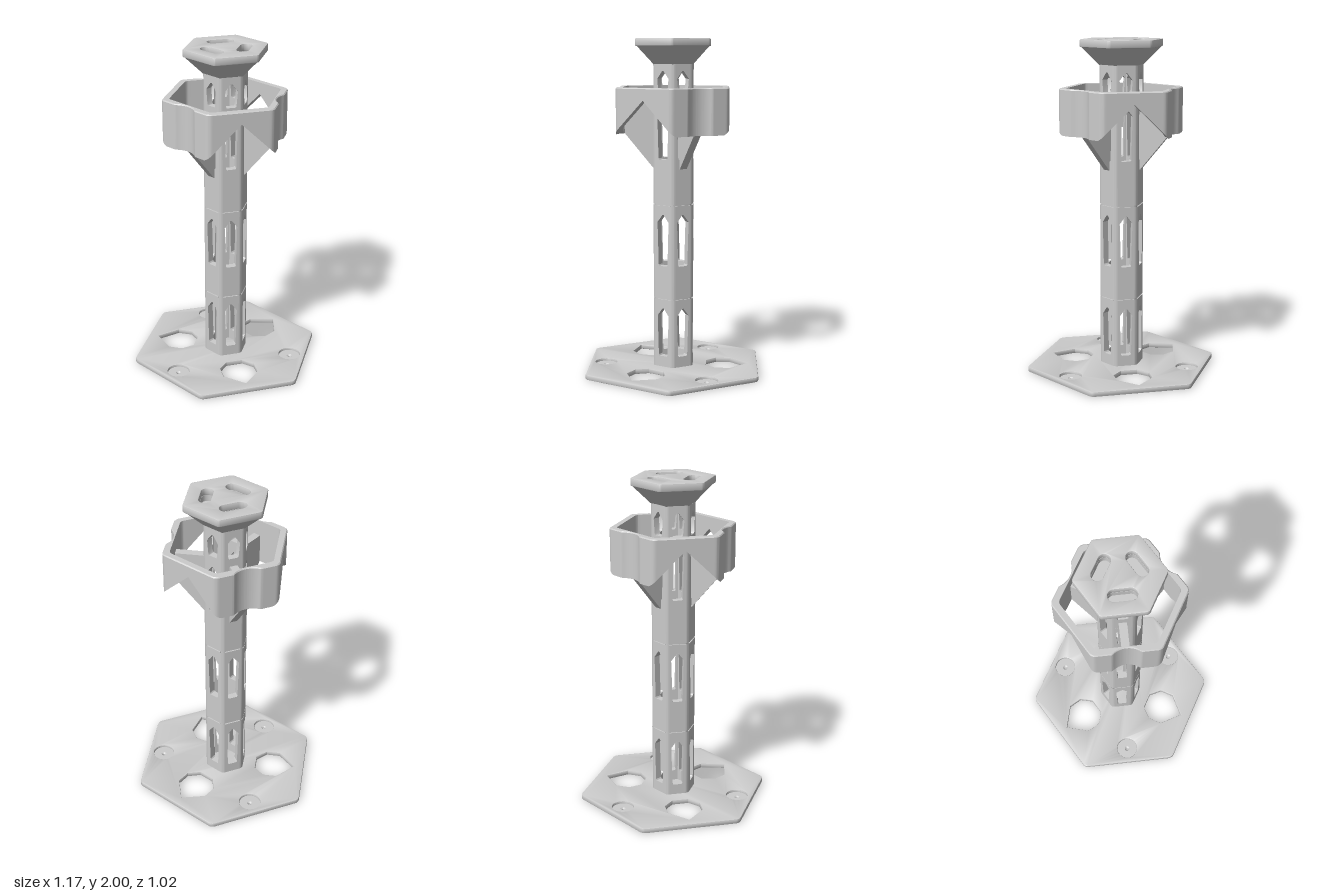
import * as THREE from 'three';
import { toCreasedNormals } from 'three/addons/utils/BufferGeometryUtils.js';

const RAD = Math.PI / 180;
const mat = new THREE.MeshStandardMaterial({ color: 0xcccccc, side: THREE.DoubleSide });
const OPEN_SIDES = [0, 120, 240];    // angles from +z toward +x
const STRUT_SIDES = [60, 180, 300];
const ALL_SIDES = [0, 60, 120, 180, 240, 300];

function add(parent, name, geo, crease = 30) {
  const mesh = new THREE.Mesh(toCreasedNormals(geo, crease * RAD), mat);
  mesh.name = name;
  parent.add(mesh);
  return mesh;
}

// Plan point: u sideways, v outward along the direction of angle deg
function plan(u, v, deg) {
  const s = Math.sin(deg * RAD), c = Math.cos(deg * RAD);
  return new THREE.Vector2(v * s + u * c, -(v * c - u * s));
}

// Rounded hexagon outline with corners on the x axis
function hexPoints(apothem, r) {
  const pts = [], c = (apothem - r) / Math.cos(30 * RAD);
  for (const side of ALL_SIDES) {
    for (let i = 0; i <= 5; i++) {
      pts.push(plan(0, c, side + 30).add(plan(0, r, side + i * 12)));
    }
  }
  return pts;
}

// Horizontal plate from y0 to y1 with holes and an optional edge bevel
function plate(outline, holes, y0, y1, bevel = 0) {
  const shape = new THREE.Shape(outline);
  shape.holes = holes.map((h) => new THREE.Path(h));
  const geo = new THREE.ExtrudeGeometry(shape, {
    depth: y1 - y0 - 2 * bevel, bevelEnabled: bevel > 0, bevelSize: bevel,
    bevelThickness: bevel, bevelOffset: -bevel, bevelSegments: 2,
  });
  return geo.rotateX(-Math.PI / 2).translate(0, y0 + bevel, 0);
}

function circlePoints(r, v, deg) {
  return Array.from({ length: 40 }, (_, i) => plan(0, v, deg).add(plan(0, r, i * 9)));
}

function slotPoints(deg) {
  const pts = [];
  for (const side of [1, -1]) {
    for (let i = 0; i <= 12; i++) {
      const t = (i * 15 - 90) * RAD;
      pts.push(plan(side * (0.045 + 0.034 * Math.cos(t)), 0.11 + side * 0.034 * Math.sin(t), deg));
    }
  }
  return pts;
}

// Foot: hexagonal plate with three cutouts and three screw pockets
function makeBase() {
  const base = new THREE.Group();
  base.name = 'base';
  const half = [[0.05, 0.2], [0.107, 0.26], [0.107, 0.345]];
  const cutout = [...half, [0, 0.45], ...half.map(([u, v]) => [-u, v]).reverse()];
  const holes = [
    ...OPEN_SIDES.map((a) => cutout.map(([u, v]) => plan(u, v, a))),
    ...STRUT_SIDES.map((a) => circlePoints(0.066, 0.415, a)),
  ];
  add(base, 'basePlate', plate(hexPoints(0.511, 0.04), holes, 0, 0.03, 0.006));
  const profile = [[0, 0], [0.071, 0], [0.071, 0.014], [0.016, 0.014], [0.007, 0.006], [0.007, 0.002], [0, 0.002]]
    .map(([x, y]) => new THREE.Vector2(x, y));
  for (const a of STRUT_SIDES) {
    const p = plan(0, 0.415, a);
    add(base, 'screwPocket', new THREE.LatheGeometry(profile, 32)).position.set(p.x, 0, -p.y);
  }
  return base;
}

// Hollow hexagonal column section with pointed windows on all six walls
const COL = { apothem: 0.118, wall: 0.04, r: 0.03 };
function makeSection(name, y0, y1, windows) {
  const section = new THREE.Group();
  section.name = name;
  const tan = Math.tan(30 * RAD), c = (COL.apothem - COL.r) / Math.cos(30 * RAD), w = c / 2;
  const shape = new THREE.Shape([[-w, y0], [w, y0], [w, y1], [-w, y1]].map((p) => new THREE.Vector2(...p)));
  shape.holes = windows.map(([b, t]) => new THREE.Path(
    [[-0.026, b], [0.026, b], [0.031, b + 0.008], [0.039, t - 0.045], [0.005, t], [-0.005, t], [-0.039, t - 0.045], [-0.031, b + 0.008]]
      .map((p) => new THREE.Vector2(...p))));
  const wall = new THREE.ExtrudeGeometry(shape, { depth: COL.wall, bevelEnabled: false });
  wall.translate(0, 0, COL.apothem - COL.wall);
  // Mitre the inner long edges so that neighbouring walls meet
  const pos = wall.attributes.position;
  for (let i = 0; i < pos.count; i++) {
    const x = pos.getX(i), z = pos.getZ(i);
    if (Math.abs(x) > w - 1e-4 && z < COL.apothem - 1e-4) pos.setX(i, Math.sign(x) * z * tan);
  }
  for (const a of ALL_SIDES) {
    add(section, 'columnWall', wall.clone()).rotation.y = a * RAD;
    const p = plan(0, c, a + 30);
    const corner = new THREE.CylinderGeometry(COL.r, COL.r, y1 - y0, 6, 1, true, a * RAD, 60 * RAD);
    add(section, 'columnCorner', corner).position.set(p.x, (y0 + y1) / 2, -p.y);
  }
  return section;
}

// Collar: hexagonal band with scallops beside the struts and peaked notches below
function hexRadius(deg, apothem, r) {
  const f = ((((deg + 30) % 60) + 60) % 60 - 30) * RAD;
  const c = (apothem - r) / Math.cos(30 * RAD);
  if (apothem * Math.tan(Math.abs(f)) <= c / 2) return apothem / Math.cos(f);
  const d = 30 * RAD - Math.abs(f);
  return c * Math.cos(d) + Math.sqrt(Math.max(0, r * r - (c * Math.sin(d)) ** 2));
}

function outerRadius(deg) {
  let R = hexRadius(deg, 0.33, 0.04);
  const d = 0.42, r = 0.12;
  for (const a of STRUT_SIDES) {
    const f = (deg - a) * RAD, q = r * r - (d * Math.sin(f)) ** 2;
    if (Math.cos(f) > 0 && q > 0) R = Math.min(R, d * Math.cos(f) - Math.sqrt(q));
  }
  return R;
}

function bottomY(deg, R) {
  let y = 1.443;
  for (const a of OPEN_SIDES) {
    const f = (deg - a) * RAD;
    if (Math.cos(f) > 0) y = Math.max(y, 1.645 - 0.97 * Math.abs(R * Math.sin(f)));
  }
  return y;
}

function makeCollar() {
  const TOP = 1.717, B = 0.006, verts = [], index = [], N = 360, K = 5;
  for (let i = 0; i < N; i++) {
    const deg = i * 360 / N, ro = outerRadius(deg), ri = hexRadius(deg, 0.291, 0.03);
    const loop = [[ro, bottomY(deg, ro)], [ro, TOP - B], [Math.max(ro - B, ri + 0.002), TOP], [ri, TOP], [ri, bottomY(deg, ri)]];
    for (const [r, y] of loop) verts.push(r * Math.sin(deg * RAD), y, r * Math.cos(deg * RAD));
    const j = (i + 1) % N;
    for (let k = 0; k < K; k++) {
      const n = (k + 1) % K, p = i * K + k, q = j * K + k, s = j * K + n, t = i * K + n;
      index.push(p, q, s, p, s, t);
    }
  }
  const geo = new THREE.BufferGeometry();
  geo.setAttribute('position', new THREE.Float32BufferAttribute(verts, 3));
  geo.setIndex(index);
  return geo;
}

// Triangular webs that carry the collar
function makeStrut() {
  const pts = [[0.1, 1.235], [0.122, 1.235], [0.294, 1.445], [0.294, 1.62], [0.1, 1.62]];
  const shape = new THREE.Shape(pts.map((p) => new THREE.Vector2(...p)));
  return new THREE.ExtrudeGeometry(shape, { depth: 0.046, bevelEnabled: false }).translate(0, 0, -0.023);
}

// Head: flared hexagonal cap with three slots
function makeCap() {
  const cap = new THREE.Group();
  cap.name = 'cap';
  const slots = STRUT_SIDES.map(slotPoints);
  add(cap, 'capPlate', plate(hexPoints(0.22, 0.025), slots, 1.955, 2, 0.006));
  add(cap, 'slotBlock', plate(hexPoints(0.172, 0.01), slots, 1.918, 1.957));
  const profile = [[0, 1.85], [0.134, 1.85], [0.247, 1.96], [0.2, 1.96], [0.2, 1.92], [0, 1.92]]
    .map(([x, y]) => new THREE.Vector2(x, y));
  add(cap, 'capFlare', new THREE.LatheGeometry(profile, 6, Math.PI / 2));
  return cap;
}

export function createModel() {
  const model = new THREE.Group();
  model.name = 'stand';
  model.add(makeBase());
  model.add(makeSection('lowerColumn', 0.028, 0.446, [[0.095, 0.39]]));
  model.add(makeSection('middleColumn', 0.454, 1.016, [[0.65, 0.96]]));
  model.add(makeSection('upperColumn', 1.024, 1.852, [[1.29, 1.6], [1.67, 1.81]]));
  // Recessed joints between the column sections
  for (const y of [0.45, 1.02]) {
    add(model, 'columnJoint', plate(hexPoints(0.11, 0.025), [hexPoints(0.08, 0.002)], y - 0.012, y + 0.012));
  }
  add(model, 'collar', makeCollar());
  for (const a of STRUT_SIDES) add(model, 'strut', makeStrut()).rotation.y = (a - 90) * RAD;
  model.add(makeCap());
  return model;
}
